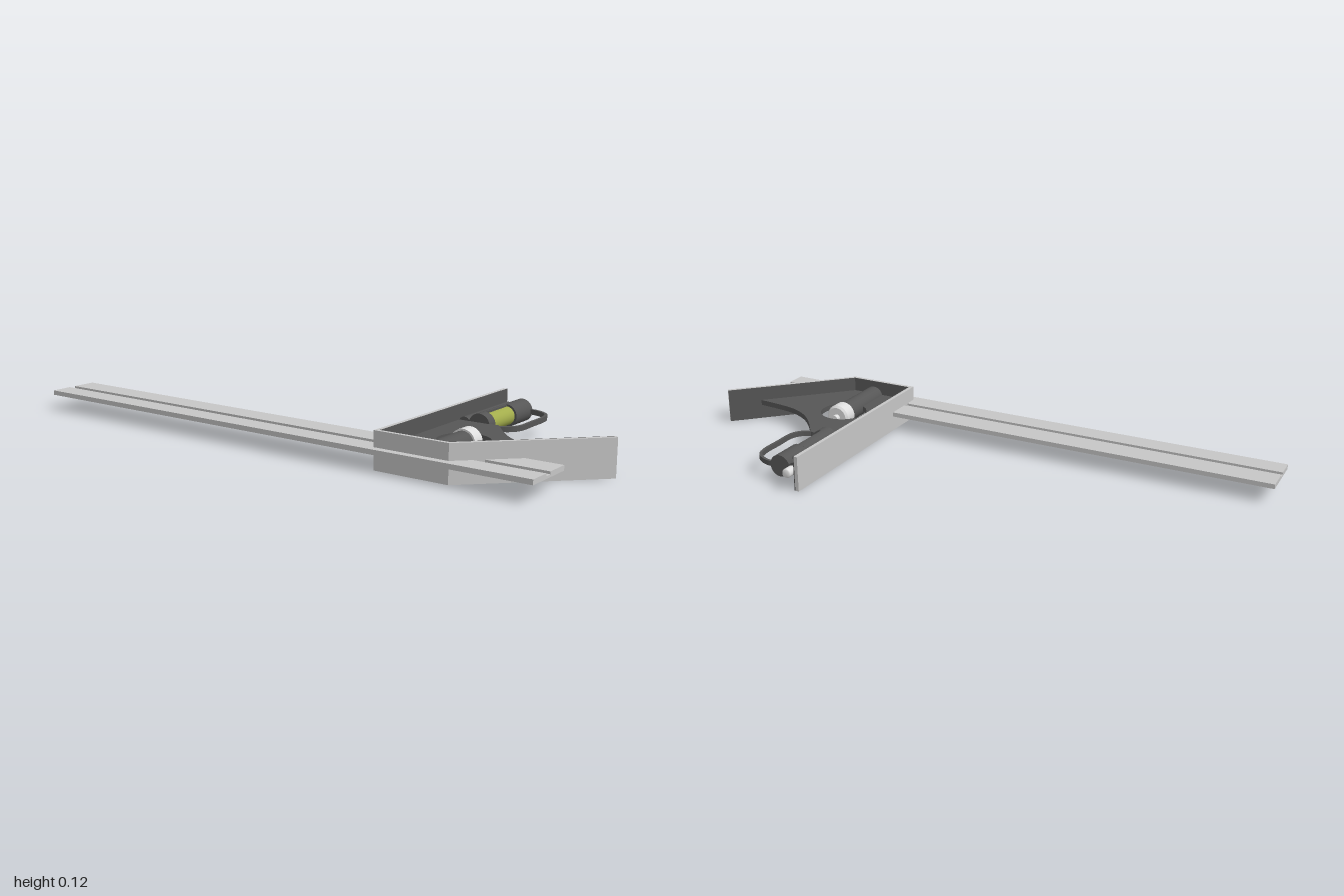
import * as THREE from 'three';

const paint = (name, color, side = THREE.FrontSide) => {
  const m = new THREE.MeshStandardMaterial({ color, side });
  m.name = name;
  return m;
};

export function createModel() {
  const model = new THREE.Group();
  const steel = paint('steel grey', 0xc6c6c6);
  const iron = paint('dark iron', 0x565656);
  const bright = paint('bright metal', 0xdedede);
  const fluid = paint('yellow green fluid', 0xa3ad4c);
  const MID = 0.0625;

  const add = (name, geometry, material) => {
    const mesh = new THREE.Mesh(geometry, material);
    mesh.name = name;
    model.add(mesh);
    return mesh;
  };
  // Plan outline in (x, z), raised from y0 to y1
  const plan = (pts) => new THREE.Shape(pts.map(([x, z]) => new THREE.Vector2(x, -z)));
  const raise = (shape, y0, y1) =>
    new THREE.ExtrudeGeometry(shape, { depth: y1 - y0, bevelEnabled: false, curveSegments: 32 })
      .rotateX(-Math.PI / 2).translate(0, y0, 0);
  // Cylinder lying along z
  const rod = (x, r, z0, z1, start = 0, sweep = Math.PI * 2) =>
    new THREE.CylinderGeometry(r, r, z1 - z0, 32, 1, false, start, sweep)
      .rotateX(Math.PI / 2).translate(x, MID, (z0 + z1) / 2);
  // Turned part along z from [radius, z] pairs, z increasing
  const turned = (x, profile) =>
    new THREE.LatheGeometry(profile.map(([r, z]) => new THREE.Vector2(r, z)), 32)
      .rotateX(Math.PI / 2).translate(x, MID, 0);

  // Ruler with a lengthwise groove on top
  const section = new THREE.Shape([
    [-0.4, 0.054], [-0.22, 0.054], [-0.22, 0.07], [-0.302, 0.07],
    [-0.302, 0.062], [-0.326, 0.062], [-0.326, 0.07], [-0.4, 0.07],
  ].map(([a, b]) => new THREE.Vector2(a, b)));
  add('ruler', new THREE.ExtrudeGeometry(section, { depth: 1.925, bevelEnabled: false })
    .rotateY(Math.PI / 2).translate(-1, 0, 0), steel);

  // Head: ground outer walls with a dark painted inside
  const outer = [[0.395, -0.387], [0.395, 0.375], [0.65, 0.375], [0.995, 0.03]];
  const inner = [[0.408, -0.387], [0.408, 0.363], [0.645, 0.363], [0.9865, 0.0215]];
  const lining = [[0.411, -0.387], [0.411, 0.36], [0.6438, 0.36], [0.9844, 0.0194]];
  add('headWalls', raise(plan([...outer, ...inner.slice().reverse()]), 0, 0.121), steel);
  add('wallLining', raise(plan([...inner, ...lining.slice().reverse()]), 0, 0.121), iron);

  // Web plate with a curved edge and a round hole
  const edge = new THREE.SplineCurve([[0.9, 0.104], [0.76, 0.088], [0.68, 0.055], [0.62, 0.003], [0.56, -0.07]]
    .map(([x, z]) => new THREE.Vector2(x, z))).getPoints(24).map((p) => [p.x, p.y]);
  const web = plan([[0.41, -0.36], [0.41, 0.362], [0.643, 0.362], ...edge,
    [0.55, -0.08], [0.484, -0.08], [0.484, -0.36]]);
  const hole = new THREE.Path();
  hole.absarc(0.56, -0.145, 0.083, 0, Math.PI * 2, true);
  web.holes.push(hole);
  add('web', raise(web, 0.0525, 0.0715), iron);

  // Thin guard loop beside the vial
  const loop = new THREE.SplineCurve([[0.51, -0.352], [0.55, -0.347], [0.592, -0.318], [0.606, -0.27],
    [0.606, -0.2], [0.606, -0.13], [0.59, -0.093], [0.555, -0.068]].map(([x, z]) => new THREE.Vector2(x, z)));
  const sides = [[], []];
  for (let i = 0; i <= 40; i++) {
    const p = loop.getPoint(i / 40), t = loop.getTangent(i / 40);
    sides[0].push([p.x - t.y * 0.005, p.y + t.x * 0.005]);
    sides[1].unshift([p.x + t.y * 0.005, p.y - t.x * 0.005]);
  }
  add('guardLoop', raise(plan([...sides[0], ...sides[1]]), 0.0535, 0.0705), iron);

  // Level vial in a housing that is open towards +x
  const VX = 0.484;
  add('vialHousingBack', rod(VX, 0.038, -0.36, -0.25), iron);
  add('vialHousingFront', rod(VX, 0.038, -0.112, -0.075), iron);
  add('vialHousingHalf', rod(VX, 0.038, -0.25, -0.112, Math.PI, Math.PI), iron);
  add('vialHousingLip', new THREE.BoxGeometry(0.004, 0.075, 0.138).translate(VX, MID, -0.181), iron);
  add('vial', rod(VX, 0.031, -0.25, -0.112), fluid);

  // Scriber: dark sleeve and bright knob
  add('scriberSleeve', rod(0.43, 0.021, -0.36, -0.075), iron);
  add('scriberKnob', turned(0.43, [[0, -0.405], [0.013, -0.405], [0.016, -0.4], [0.016, -0.37],
    [0.013, -0.364], [0.013, -0.355]]), bright);

  // Clamp post, knurled nut and bolt tip
  add('clampPost', rod(0.56, 0.037, 0.148, 0.362), iron);
  add('clampNut', turned(0.56, [[0, 0.1], [0.036, 0.1], [0.036, 0.1], [0.043, 0.107], [0.043, 0.107],
    [0.043, 0.15], [0.043, 0.15], [0, 0.15]]), bright);
  add('clampTip', rod(0.56, 0.012, 0.082, 0.102), bright);

  return model;
}
